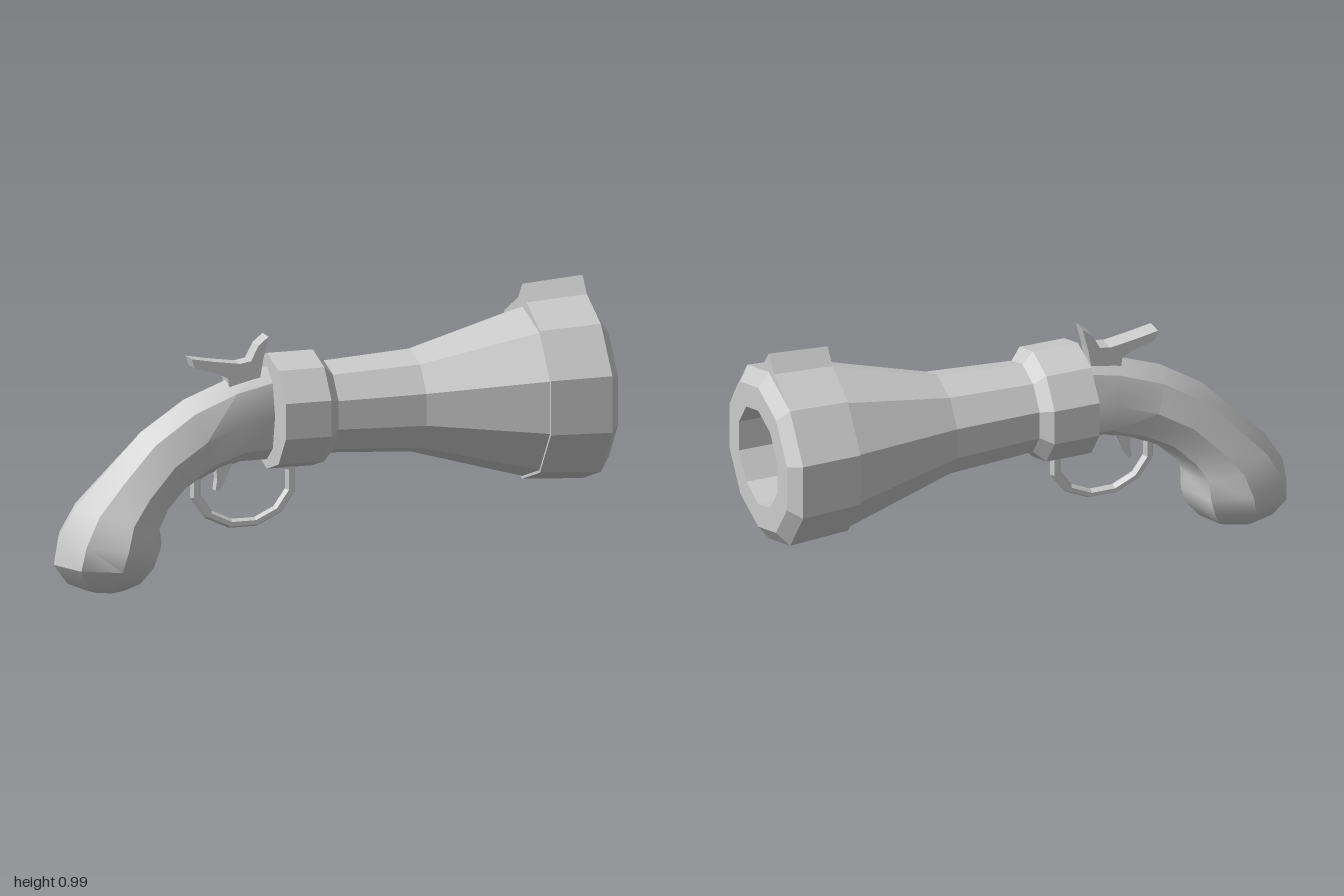
import * as THREE from 'three';
import { mergeVertices, toCreasedNormals } from 'three/addons/utils/BufferGeometryUtils.js';

const AXIS_Y = 0.593; // height of the barrel axis
const flat = new THREE.MeshStandardMaterial({ color: 0xcccccc, flatShading: true });
const smooth = new THREE.MeshStandardMaterial({ color: 0xcccccc });

function part(name, geometry, material = flat) {
  const mesh = new THREE.Mesh(geometry, material);
  mesh.name = name;
  return mesh;
}

// Ten-sided turned part along x, from [x, radius] pairs running rear to front
function turned(name, profile) {
  const points = profile.map(([x, r]) => new THREE.Vector2(r, x));
  const geometry = new THREE.LatheGeometry(points, 10, Math.PI / 2);
  geometry.rotateZ(-Math.PI / 2).translate(0, AXIS_Y, 0);
  return part(name, geometry);
}

// Skin over rings of points that run counter-clockwise about the direction of travel
function loft(rings) {
  const n = rings[0].length;
  const vertices = rings.flat();
  const index = [];
  for (let r = 0; r < rings.length - 1; r++) {
    for (let i = 0; i < n; i++) {
      const a = r * n + i, b = r * n + (i + 1) % n;
      index.push(a, b, a + n, b, b + n, a + n);
    }
  }
  // End caps as fans about the middle of the ring
  [rings[0], rings[rings.length - 1]].forEach((ring, end) => {
    const middle = vertices.length;
    const start = end * (rings.length - 1) * n;
    vertices.push(ring.reduce((s, p) => s.add(p), new THREE.Vector3()).divideScalar(n));
    for (let i = 0; i < n; i++) {
      const a = start + i, b = start + (i + 1) % n;
      index.push(middle, end ? a : b, end ? b : a);
    }
  });
  const geometry = new THREE.BufferGeometry().setFromPoints(vertices);
  geometry.setIndex(index);
  return mergeVertices(geometry);
}

// Flat plate cut from an outline in the xy plane, centred on z = 0
function plate(name, outline, thickness) {
  const shape = new THREE.Shape(outline.map(([x, y]) => new THREE.Vector2(x, y)));
  const geometry = new THREE.ExtrudeGeometry(shape, { depth: thickness, bevelEnabled: false });
  return part(name, geometry.translate(0, 0, -thickness / 2));
}

// Curved grip: [top x, top y, underside x, underside y, half width]
function makeGrip() {
  const sections = [
    [-0.20, 0.755, -0.20, 0.42, 0.085],
    [-0.35, 0.72, -0.31, 0.42, 0.095],
    [-0.52, 0.655, -0.42, 0.385, 0.112],
    [-0.68, 0.55, -0.51, 0.34, 0.13],
    [-0.81, 0.415, -0.58, 0.27, 0.15],
    [-0.92, 0.30, -0.61, 0.21, 0.178],
    [-0.985, 0.19, -0.60, 0.15, 0.2],
    [-1.0, 0.10, -0.62, 0.09, 0.185],
    [-0.95, 0.03, -0.67, 0.03, 0.13],
    [-0.88, 0.0, -0.74, 0.0, 0.075],
  ];
  const rings = sections.map(([tx, ty, bx, by, w]) =>
    Array.from({ length: 8 }, (_, i) => {
      const c = Math.cos(i * Math.PI / 4), s = Math.sin(i * Math.PI / 4);
      return new THREE.Vector3(
        (tx + bx) / 2 + c * (tx - bx) / 2,
        (ty + by) / 2 + c * (ty - by) / 2,
        -s * w);
    }));
  return part('grip', toCreasedNormals(loft(rings), 0.6), smooth);
}

// Ridged front sight that flares into the muzzle ring: [y, z] section
function makeSight() {
  const section = [[0.993, 0], [0.933, 0.045], [0.857, 0.19], [0.81, 0], [0.857, -0.19], [0.933, -0.045]];
  const ring = (x, scale) => section.map(([y, z]) =>
    new THREE.Vector3(x, AXIS_Y + (y - AXIS_Y) * scale, z * scale));
  return part('frontSight', loft([ring(0.737, 0.96), ring(0.96, 1)]));
}

export function createModel() {
  const group = new THREE.Group();
  group.name = 'pistol';

  group.add(turned('collar', [
    [-0.21, 0], [-0.21, 0.207], [-0.04, 0.207], [0, 0.165], [0, 0],
  ]));

  // Flared barrel, muzzle ring and open bore
  group.add(turned('barrel', [
    [-0.01, 0], [-0.01, 0.164], [0.32, 0.184], [0.737, 0.303], [0.737, 0.313],
    [0.96, 0.327], [1, 0.273], [1, 0.183], [0.45, 0.183], [0.45, 0],
  ]));
  group.add(makeSight());
  group.add(makeGrip());

  group.add(plate('hammer', [
    [-0.50, 0.805], [-0.49, 0.772], [-0.40, 0.745], [-0.365, 0.725], [-0.36, 0.69], [-0.25, 0.70],
    [-0.235, 0.785], [-0.215, 0.865], [-0.252, 0.835], [-0.28, 0.782], [-0.32, 0.775], [-0.42, 0.79],
  ], 0.065));

  group.add(plate('trigger', [
    [-0.405, 0.42], [-0.40, 0.365], [-0.406, 0.325], [-0.392, 0.322], [-0.368, 0.365], [-0.34, 0.43],
  ], 0.035));

  // Oval trigger guard, its upper part buried in the frame
  const guard = new THREE.TorusGeometry(0.182, 0.02, 6, 12);
  guard.rotateZ(Math.PI / 12).scale(1, 0.82, 1).translate(-0.3, 0.345, 0);
  group.add(part('triggerGuard', guard));

  return group;
}
